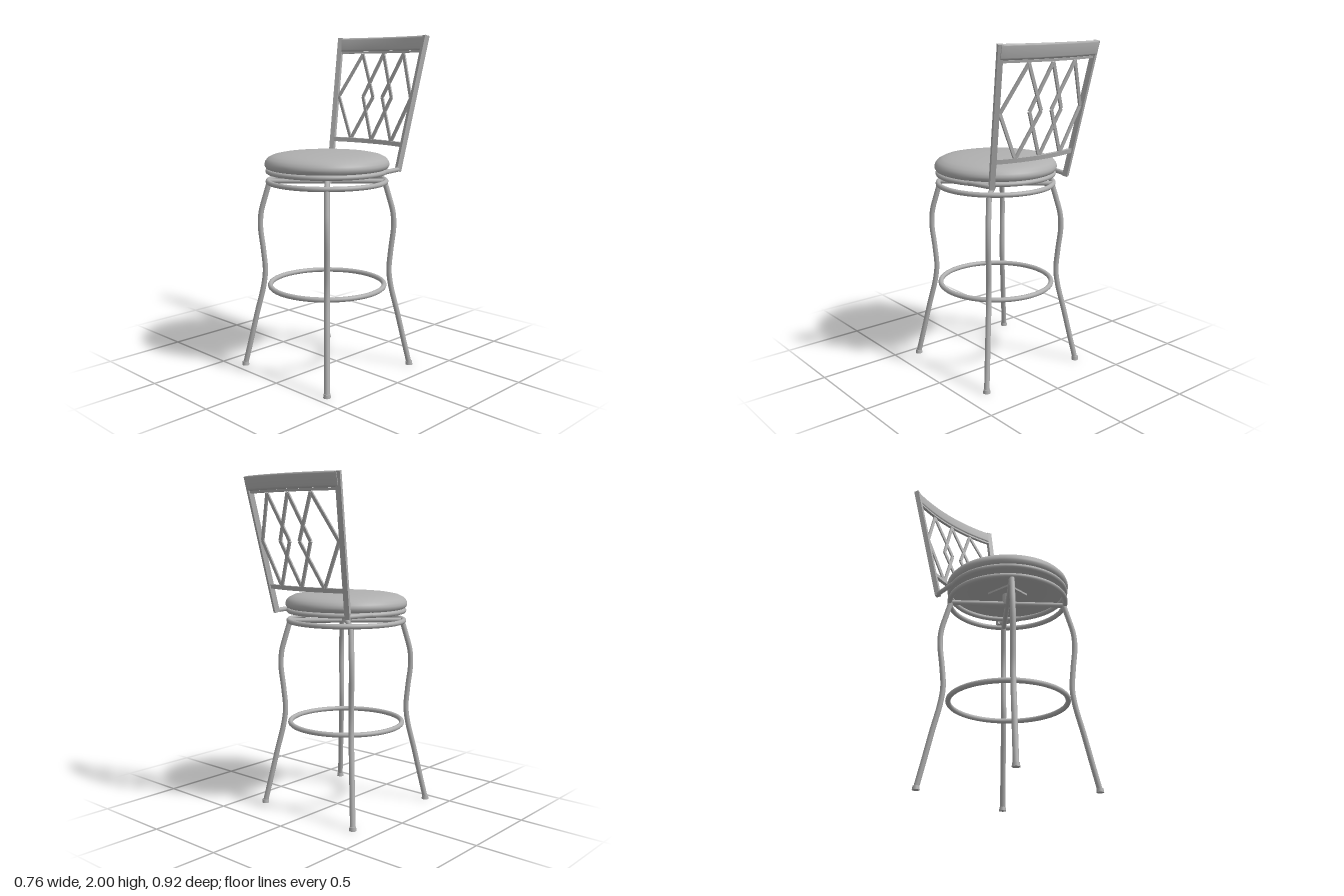
import * as THREE from 'three';
import { toCreasedNormals } from 'three/addons/utils/BufferGeometryUtils.js';

const V = (x, y, z) => new THREE.Vector3(x, y, z);

export function createModel() {
  const root = new THREE.Group();
  root.name = 'swivelBarStool';
  const grey = new THREE.MeshStandardMaterial({ color: 0xb0b0b0 });
  grey.name = 'satinGrey';
  const CZ = 0.08; // centre of the round seat and base

  function add(name, geo, parent = root) {
    const m = new THREE.Mesh(geo, grey);
    m.name = name;
    parent.add(m);
    return m;
  }
  // Flat-sided bar between two points
  function bar(name, a, b, w, d, parent = root) {
    const m = add(name, new THREE.BoxGeometry(w, d, a.distanceTo(b)), parent);
    m.position.copy(a).lerp(b, 0.5);
    m.lookAt(b);
    return m;
  }
  // Round rod between two points
  function rod(name, a, b, r, parent = root) {
    return add(name, new THREE.TubeGeometry(new THREE.LineCurve3(a, b), 1, r, 12), parent);
  }
  function ring(name, y, R, r) {
    const m = add(name, new THREE.TorusGeometry(R, r, 12, 64), root);
    m.rotation.x = Math.PI / 2;
    m.position.set(0, y, CZ);
  }
  // Rail bowed backwards, leaning back with the posts
  function bowedRail(name, y, h, halfW, endZ, sag, t, bevel) {
    const n = 24, pts = [];
    const back = x => -endZ + sag * (1 - (x / halfW) ** 2);
    for (let i = 0; i <= n; i++) {
      const x = halfW * (1 - 2 * i / n);
      pts.push(new THREE.Vector2(x, back(x) + t / 2 - bevel));
    }
    for (let i = n; i >= 0; i--) {
      const x = halfW * (1 - 2 * i / n);
      pts.push(new THREE.Vector2(x, back(x) - t / 2 + bevel));
    }
    let g = new THREE.ExtrudeGeometry(new THREE.Shape(pts), {
      depth: h - 2 * bevel, steps: 1, bevelEnabled: bevel > 0,
      bevelSize: bevel, bevelThickness: bevel, bevelSegments: 4,
    });
    g.translate(0, 0, bevel - h / 2);
    g.rotateX(-Math.PI / 2);
    const p = g.attributes.position;
    for (let i = 0; i < p.count; i++) p.setZ(i, p.getZ(i) - 0.2 * p.getY(i));
    g = toCreasedNormals(g, 0.7);
    add(name, g).position.y = y;
  }

  // Padded round seat
  const profile = [[0, 1.222], [0.345, 1.222], [0.361, 1.229], [0.369, 1.243], [0.37, 1.254],
    [0.365, 1.27], [0.35, 1.287], [0.32, 1.302], [0.27, 1.312], [0.2, 1.319], [0.1, 1.324], [0, 1.325]];
  const seat = new THREE.LatheGeometry(profile.map(p => new THREE.Vector2(...p)), 64);
  add('seatCushion', toCreasedNormals(seat, 0.9)).position.z = CZ;

  // Rings of the seat frame, base and footrest
  ring('seatRing', 1.21, 0.35, 0.015);
  ring('baseRing', 1.148, 0.35, 0.015);
  ring('footRing', 0.515, 0.345, 0.015);

  // Swivel between base and seat
  add('swivelPost', new THREE.CylinderGeometry(0.03, 0.03, 0.09, 24)).position.set(0, 1.18, CZ);
  add('swivelPlate', new THREE.BoxGeometry(0.17, 0.012, 0.17)).position.set(0, 1.212, CZ);

  // Four curved legs with feet, set on the diagonals
  const k = Math.SQRT2;
  for (let i = 0; i < 4; i++) {
    const leg = new THREE.Group();
    leg.name = 'leg';
    leg.position.z = CZ;
    leg.rotation.y = Math.PI / 4 + i * Math.PI / 2;
    root.add(leg);
    const path = [[0.357, 0.01], [0.33, 0.17], [0.302, 0.34], [0.274, 0.5], [0.265, 0.6], [0.272, 0.73],
      [0.283, 0.87], [0.279, 0.96], [0.262, 1.05], [0.243, 1.14]].map(([x, y]) => V(x * k, y, 0));
    add('legTube', new THREE.TubeGeometry(new THREE.CatmullRomCurve3(path), 48, 0.016, 12), leg);
    add('foot', new THREE.CylinderGeometry(0.019, 0.022, 0.022, 20), leg).position.set(0.357 * k, 0.011, 0);
    rod('crossBrace', V(0, 1.145, 0), V(0.345, 1.145, 0), 0.015, leg);
  }

  // Back posts and the brackets joining them to the seat ring
  for (const s of [1, -1]) {
    bar('backPost', V(s * 0.282, 1.2, -0.235), V(s * 0.35, 1.998, -0.398), 0.03, 0.03);
    rod('backBracket', V(s * 0.318, 1.212, -0.07), V(s * 0.283, 1.212, -0.24), 0.014);
  }

  // Bowed rails
  bowedRail('topRail', 1.957, 0.084, 0.34, -0.394, 0.045, 0.034, 0.012);
  bowedRail('upperBackBar', 1.907, 0.014, 0.33, -0.382, 0.045, 0.02, 0);
  bowedRail('lowerBackBar', 1.358, 0.026, 0.288, -0.267, 0.042, 0.024, 0);

  // Three overlapping diamonds of flat strip
  for (const [cx, hw, name] of [[-0.168, 0.13, 'leftSide'], [0, 0.118, 'middle'], [0.168, 0.13, 'rightSide']]) {
    const group = new THREE.Group();
    group.name = name === 'middle' ? 'middleDiamond' : 'sideDiamond';
    root.add(group);
    const bow = x => 0.04 * (x / 0.3) ** 2;
    const side = x => V(x, 1.63, -0.367 + bow(x));
    const c = [V(cx, 1.895, -0.42 + bow(cx) * 0.6), side(cx + hw),
      V(cx, 1.365, -0.308 + bow(cx) * 0.6), side(cx - hw)];
    c.forEach((p, i) => bar('strip', p, c[(i + 1) % 4], 0.02, 0.01, group).up.set(0, 0, 1));
    // Turn each strip so its broad face looks forward
    group.children.forEach((m, i) => m.lookAt(c[(i + 1) % 4]));
  }
  return root;
}
